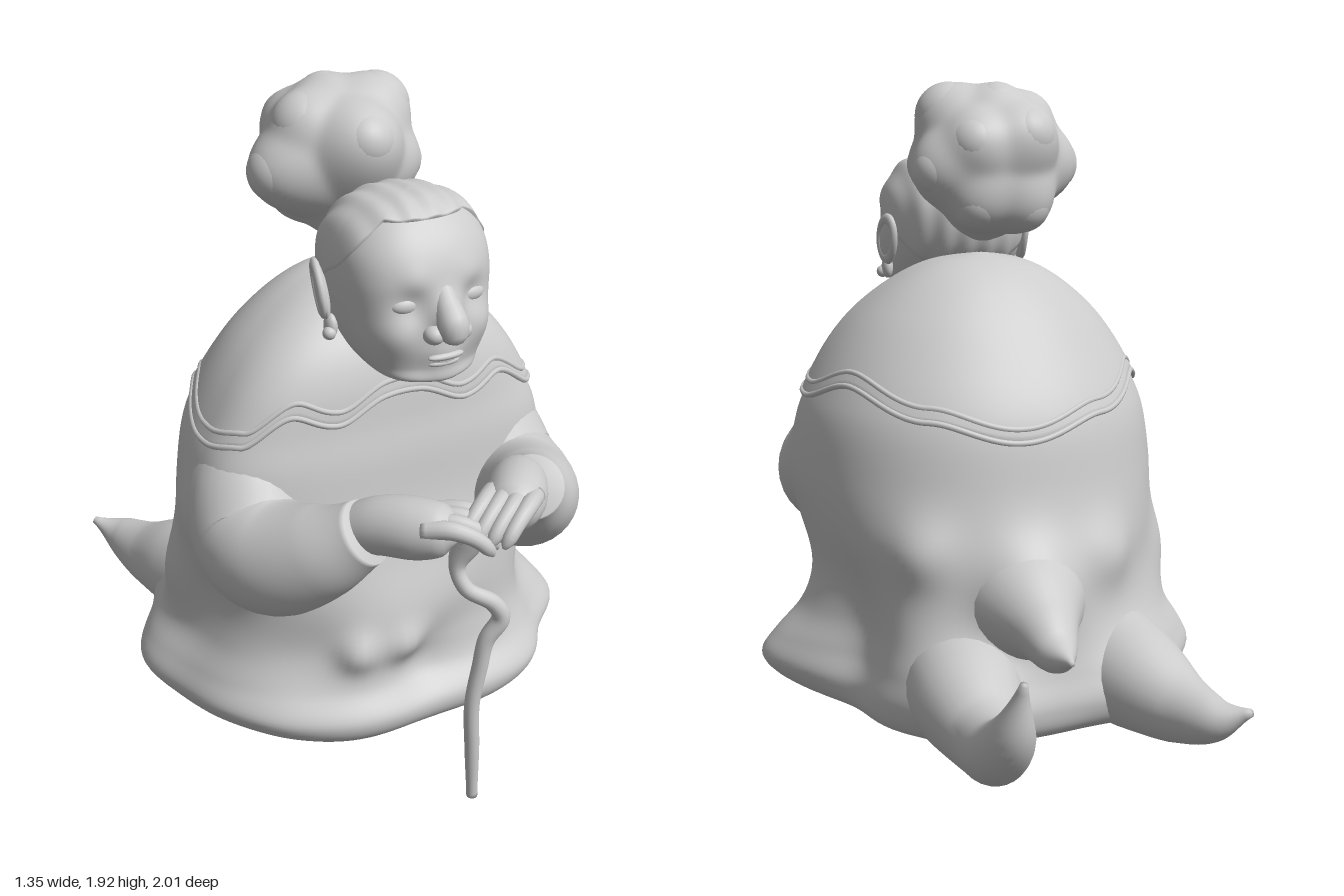
import * as THREE from 'three';

const V = (x, y, z) => new THREE.Vector3(x, y, z);
const material = new THREE.MeshStandardMaterial({ color: 0xcccccc, side: THREE.DoubleSide });

// Smooth interpolation through rows of numbers, t in 0..1
function sample(rows, t) {
  const n = rows.length - 1, k = Math.min(Math.floor(t * n), n - 1), f = t * n - k;
  const at = i => rows[Math.max(0, Math.min(n, i))];
  return rows[0].map((_, c) => {
    const [a, b, d, e] = [at(k - 1)[c], at(k)[c], at(k + 1)[c], at(k + 2)[c]];
    return b + 0.5 * f * (d - a + f * (2 * a - 5 * b + 4 * d - e + f * (3 * (b - d) + e - a)));
  });
}

// Surface of rings from f(u, v), wrapped around u
function rings(f, nu, nv) {
  const pos = [], idx = [];
  for (let j = 0; j <= nv; j++)
    for (let i = 0; i < nu; i++) {
      pos.push(...f(i / nu, j / nv).toArray());
      if (j === nv) continue;
      const a = j * nu + i, b = j * nu + (i + 1) % nu;
      idx.push(a, a + nu, b, b, a + nu, b + nu);
    }
  const g = new THREE.BufferGeometry();
  g.setAttribute('position', new THREE.Float32BufferAttribute(pos, 3));
  g.setIndex(idx);
  g.computeVertexNormals();
  return g;
}

// Stacked sections [y, halfWidth, zCentre, frontDepth, backDepth] with soft bumps [x, y, z, size, height];
// front(y) and back set how square the two halves are
function stack(rows, front, back, bumps, ripple = () => 0) {
  const pw = (a, e) => Math.sign(a) * Math.abs(a) ** (2 / e);
  return (u, v) => {
    const a = u * Math.PI * 2, c = Math.cos(a), s = Math.sin(a);
    const [y, w, zc, df, db] = sample(rows, v);
    const e = s > 0 ? front(y) : back;
    const p = V(w * pw(c, e), y, zc + (s > 0 ? df : db) * pw(s, e));
    let d = ripple(a, y);
    for (const [x, by, z, r, h] of bumps) d += h * Math.exp(-p.distanceToSquared(V(x, by, z)) / (r * r));
    return p.addScaledVector(V(p.x, 0, p.z - zc).normalize(), d);
  };
}

// Point on a stacked surface at a given height
function atHeight(surface, u, y) {
  let lo = 0.02, hi = 1;
  for (let i = 0; i < 24; i++) {
    const m = (lo + hi) / 2;
    if (surface(u, m).y < y) lo = m; else hi = m;
  }
  return lo;
}

// Layer lying over the top of a surface, down to the height edge(u)
function layer(surface, edge, centre, off, nu, nv) {
  return rings((u, v) => {
    const v0 = atHeight(surface, u, edge(u));
    const p = surface(u, v0 + (1 - v0) * Math.max(0, (v * nv - 1) / (nv - 1)));
    return p.addScaledVector(p.clone().sub(centre).normalize(), v === 0 ? -0.005 : off(p));
  }, nu, nv);
}

// Tapered round sweep through [x, y, z, radius] points, closed at both ends
function limb(pts, nu = 20, nv = 28) {
  const curve = new THREE.CatmullRomCurve3(pts.map(p => V(p[0], p[1], p[2])));
  const fr = curve.computeFrenetFrames(nv);
  const radii = pts.map(p => [p[3]]);
  return rings((u, v) => {
    const j = Math.max(0, Math.min(nv, Math.round(v * (nv + 2)) - 1));
    const t = curve.getUtoTmapping(j / nv), a = u * Math.PI * 2;
    const r = v === 0 || v === 1 ? 0 : Math.max(0.002, sample(radii, t)[0]);
    return curve.getPoint(t).addScaledVector(fr.normals[j], r * Math.cos(a)).addScaledVector(fr.binormals[j], -r * Math.sin(a));
  }, nu, nv + 2);
}

export function createModel() {
  const model = new THREE.Group();
  const add = (name, geo, parent = model) => {
    const m = new THREE.Mesh(geo, material);
    m.name = name;
    parent.add(m);
    return m;
  };
  const ball = (name, x, y, z, rx, ry = rx, rz = rx) => {
    const m = add(name, new THREE.SphereGeometry(1, 28, 20));
    m.position.set(x, y, z);
    m.scale.set(rx, ry, rz);
  };

  // Robed body with a lumpy skirt
  const body = stack([
    [0.01, 0.01, 0.08, 0.01, 0.01], [0.015, 0.36, 0.08, 0.34, 0.4], [0.05, 0.53, 0.08, 0.49, 0.53],
    [0.13, 0.6, 0.1, 0.515, 0.58], [0.22, 0.58, 0.1, 0.46, 0.56], [0.32, 0.54, 0.1, 0.445, 0.54],
    [0.45, 0.52, 0.1, 0.44, 0.52], [0.6, 0.535, 0.14, 0.36, 0.54], [0.75, 0.55, 0.19, 0.27, 0.56],
    [0.9, 0.54, 0.2, 0.24, 0.54], [1.0, 0.505, 0.19, 0.23, 0.49], [1.12, 0.44, 0.18, 0.22, 0.405],
    [1.22, 0.36, 0.16, 0.2, 0.315], [1.31, 0.25, 0.13, 0.16, 0.205], [1.365, 0.14, 0.11, 0.1, 0.11],
    [1.39, 0.005, 0.09, 0.005, 0.005]],
  y => 2.2 + 0.8 * THREE.MathUtils.smoothstep(y, 0.3, 0.8), 2.15, [
    [0.62, 0.15, 0.23, 0.16, 0.08], [-0.62, 0.16, 0, 0.17, 0.085], [-0.53, 0.45, 0.05, 0.14, 0.07],
    [-0.2, 0.34, 0.54, 0.06, 0.045], [-0.05, 0.34, 0.55, 0.06, 0.04], [0.4, 0.12, 0.46, 0.14, 0.03],
    [-0.42, 0.14, 0.45, 0.14, 0.03], [0.3, 0.58, -0.33, 0.1, 0.04], [-0.25, 0.55, -0.35, 0.1, 0.04],
    [0, 0.24, 0.56, 0.1, -0.03], [0.56, 0.2, -0.2, 0.2, -0.1], [0.5, 0.42, -0.1, 0.14, -0.03],
    [0, 0.48, -0.44, 0.13, 0.1], [0.2, 0.16, -0.45, 0.15, 0.12], [-0.34, 0.14, -0.38, 0.16, 0.1],
    [0.54, 0.7, 0.22, 0.17, 0.025], [-0.54, 0.7, 0.22, 0.17, 0.045]],
  (a, y) => 0.012 * Math.sin(7 * a + 5 * y) * THREE.MathUtils.smoothstep(0.6 - y, 0, 0.3));
  add('robe', rings(body, 144, 112));

  // Shoulder cape with a wavy double hem; heights run from the front round to the back
  const hem = [[90, 1.085], [75, 1.025], [54, 1.065], [28, 0.985], [0, 0.965], [-27, 1.025], [-62, 0.95], [-90, 0.89]];
  const hemHeight = u => {
    const deg = Math.asin(Math.sin(u * Math.PI * 2)) * 180 / Math.PI;
    const i = Math.max(1, hem.findIndex(h => h[0] <= deg + 1e-6));
    const f = (hem[i - 1][0] - deg) / (hem[i - 1][0] - hem[i][0]);
    return THREE.MathUtils.lerp(hem[i - 1][1], hem[i][1], f * f * (3 - 2 * f));
  };
  const chest = V(0, 0.8, 0.1);
  add('cape', layer(body, hemHeight, chest, () => 0.012, 144, 30));
  for (const lift of [0.004, 0.042]) {
    const pts = [];
    for (let i = 0; i < 120; i++) {
      const p = body(i / 120, atHeight(body, i / 120, hemHeight(i / 120) + lift));
      pts.push(p.addScaledVector(p.clone().sub(chest).normalize(), 0.008));
    }
    add('capeHem', new THREE.TubeGeometry(new THREE.CatmullRomCurve3(pts, true), 240, 0.009, 8, true));
  }

  // Three tails
  add('longTail', limb([[0.17, 0.2, -0.2, 0.18], [0.2, 0.18, -0.45, 0.165], [0.2, 0.14, -0.65, 0.115],
    [0.22, 0.165, -0.8, 0.09], [0.22, 0.26, -0.92, 0.065], [0.21, 0.42, -0.99, 0.012]], 28, 40));
  add('sideTail', limb([[-0.28, 0.2, -0.2, 0.18], [-0.34, 0.17, -0.42, 0.155], [-0.4, 0.14, -0.6, 0.105],
    [-0.45, 0.15, -0.73, 0.065], [-0.52, 0.19, -0.81, 0.012]], 28, 40));
  add('middleTail', limb([[0, 0.42, -0.25, 0.24], [0, 0.42, -0.42, 0.17], [0, 0.395, -0.55, 0.1],
    [0, 0.365, -0.65, 0.06], [0, 0.375, -0.77, 0.008]], 28, 40));

  // Neck and head
  add('neck', limb([[0, 1.1, 0.2, 0.17], [0, 1.25, 0.27, 0.13], [0, 1.4, 0.35, 0.13]]));
  const head = stack([
    [1.215, 0.005, 0.53, 0.005, 0.005], [1.22, 0.12, 0.52, 0.1, 0.08], [1.26, 0.17, 0.47, 0.15, 0.13],
    [1.32, 0.2, 0.43, 0.2, 0.18], [1.4, 0.215, 0.4, 0.23, 0.23], [1.5, 0.22, 0.4, 0.225, 0.26],
    [1.58, 0.205, 0.4, 0.195, 0.235], [1.65, 0.155, 0.4, 0.14, 0.16], [1.685, 0.08, 0.41, 0.075, 0.09],
    [1.695, 0.005, 0.42, 0.005, 0.005]], () => 2.5, 2.1, [
    [0.09, 1.45, 0.61, 0.05, -0.018], [-0.09, 1.45, 0.61, 0.05, -0.018], [0.11, 1.36, 0.58, 0.055, 0.02],
    [-0.11, 1.36, 0.58, 0.055, 0.02], [0, 1.24, 0.6, 0.045, 0.018], [0, 1.3, 0.63, 0.05, 0.016],
    [0.08, 1.5, 0.6, 0.04, 0.008], [-0.08, 1.5, 0.6, 0.04, 0.008], [0, 1.42, 0.63, 0.05, 0.035]]);
  add('head', rings(head, 112, 80));
  const hairline = u => {
    const s = Math.sin(u * Math.PI * 2);
    return s > 0 ? 1.5 + 0.15 * Math.min(1, s * 1.5) : 1.5 + 0.17 * s;
  };
  add('combedHair', layer(head, hairline, V(0, 1.45, 0.4), p => 0.006 + 0.003 * Math.sin(p.x * 95), 144, 30));

  // Face
  add('nose', limb([[0, 1.5, 0.585, 0.03], [0, 1.44, 0.63, 0.037], [0, 1.385, 0.673, 0.043], [0, 1.355, 0.665, 0.03]], 16, 14));
  ball('upperLip', 0, 1.295, 0.636, 0.055, 0.012, 0.018);
  ball('lowerLip', 0, 1.273, 0.623, 0.05, 0.013, 0.02);
  for (const s of [-1, 1]) {
    ball('nostril', s * 0.042, 1.365, 0.64, 0.03, 0.027, 0.032);
    ball('eyelid', s * 0.095, 1.44, 0.58, 0.05, 0.028, 0.03);
    // Ear with rim, lobe and earring
    const ear = new THREE.Group();
    ear.name = 'ear';
    ear.position.set(s * 0.222, 1.415, 0.345);
    ear.rotation.set(-0.42, s * 0.3, 0);
    add('earShell', new THREE.SphereGeometry(1, 20, 16), ear).scale.set(0.018, 0.08, 0.045);
    const rim = add('earRim', new THREE.TorusGeometry(0.042, 0.012, 10, 28), ear);
    rim.rotation.y = Math.PI / 2;
    rim.scale.y = 1.6;
    rim.position.set(s * 0.006, 0.012, 0);
    model.add(ear);
    ball('earLobe', s * 0.216, 1.33, 0.385, 0.018, 0.035, 0.026);
    ball('earring', s * 0.228, 1.315, 0.4, 0.019);
  }

  // Hair bun: a core swelling smoothly into round curls
  const core = V(-0.01, 1.685, 0.03);
  const curls = [[-0.01, 1.77, 0.2, 0.085], [0.11, 1.815, 0.04, 0.1], [-0.12, 1.79, 0.05, 0.1], [-0.02, 1.825, -0.02, 0.09],
    [-0.205, 1.67, 0.05, 0.09], [0.165, 1.66, -0.06, 0.08], [0.14, 1.67, 0.1, 0.08], [-0.08, 1.76, -0.11, 0.09],
    [0.07, 1.74, -0.11, 0.085], [0, 1.525, 0.05, 0.085], [-0.08, 1.56, -0.08, 0.085], [0.06, 1.57, -0.09, 0.085]];
  add('bun', rings((u, v) => {
    const dir = new THREE.Vector3().setFromSphericalCoords(1, Math.PI * (1 - v), -u * Math.PI * 2);
    let swell = 0;
    for (const [x, y, z, r] of curls) {
      const c = V(x, y, z).sub(core);
      swell += Math.max(0, (c.length() + r - 0.195) * Math.exp(-((dir.angleTo(c) / 0.58) ** 2))) ** 4;
    }
    return dir.multiplyScalar(0.195 + swell ** 0.25 * 0.93).add(core);
  }, 96, 64));
  for (const c of curls) ball('curl', ...c);

  // Sleeves and folded hands
  for (const s of [-1, 1]) {
    const place = (pts, dx, dy, dz) => pts.map(([x, y, z, r]) => [s * x + dx, y + dy, z + dz, r]);
    const hand = pts => s > 0 ? place(pts, -0.035, 0.01, 0.02) : place(pts, -0.03, -0.015, 0);
    add('sleeve', limb(place([[0.28, 0.92, 0.2, 0.14], [0.37, 0.82, 0.24, 0.175], [0.4, 0.7, 0.33, 0.183],
      [0.39, 0.695, 0.46, 0.17], [0.325, 0.775, 0.61, 0.132], [0.25, 0.865, 0.71, 0.092]], s < 0 ? -0.03 : 0, 0, 0), 32, 44));
    add('palm', limb(hand([[0.27, 0.86, 0.65, 0.07], [0.21, 0.9, 0.73, 0.082], [0.15, 0.915, 0.81, 0.085],
      [0.1, 0.925, 0.87, 0.068], [0.075, 0.925, 0.895, 0.025]]), 24, 24));
    for (let i = 0; i < 4; i++) {
      const d = (i - 1.5) * 0.039, x = 0.09 + d * 0.75, z = 0.865 + d * 0.66;
      add('finger', limb(hand([[x + 0.04, 0.945, z - 0.035, 0.026], [x - 0.02, 0.955, z + 0.02, 0.025],
        [x - 0.075, 0.93, z + 0.05, 0.022], [x - 0.11, 0.895, z + 0.062, 0.019], [x - 0.122, 0.875, z + 0.062, 0.006]]), 12, 14));
    }
    add('thumb', limb(hand([[0.15, 0.9, 0.78, 0.034], [0.08, 0.885, 0.79, 0.026], [0.03, 0.885, 0.82, 0.02], [0.015, 0.885, 0.835, 0.006]]), 12, 14));
  }

  // Crooked walking stick
  add('walkingStick', limb([[-0.03, 0.9, 0.87, 0.045], [-0.05, 0.84, 0.85, 0.042], [-0.075, 0.77, 0.845, 0.024],
    [-0.06, 0.71, 0.87, 0.022], [0.01, 0.66, 0.9, 0.024], [0.035, 0.61, 0.905, 0.026], [0, 0.54, 0.89, 0.024],
    [-0.015, 0.45, 0.885, 0.023], [-0.032, 0.33, 0.88, 0.022], [-0.025, 0.17, 0.878, 0.021], [-0.017, 0, 0.876, 0.016]], 14, 70));

  return model;
}
